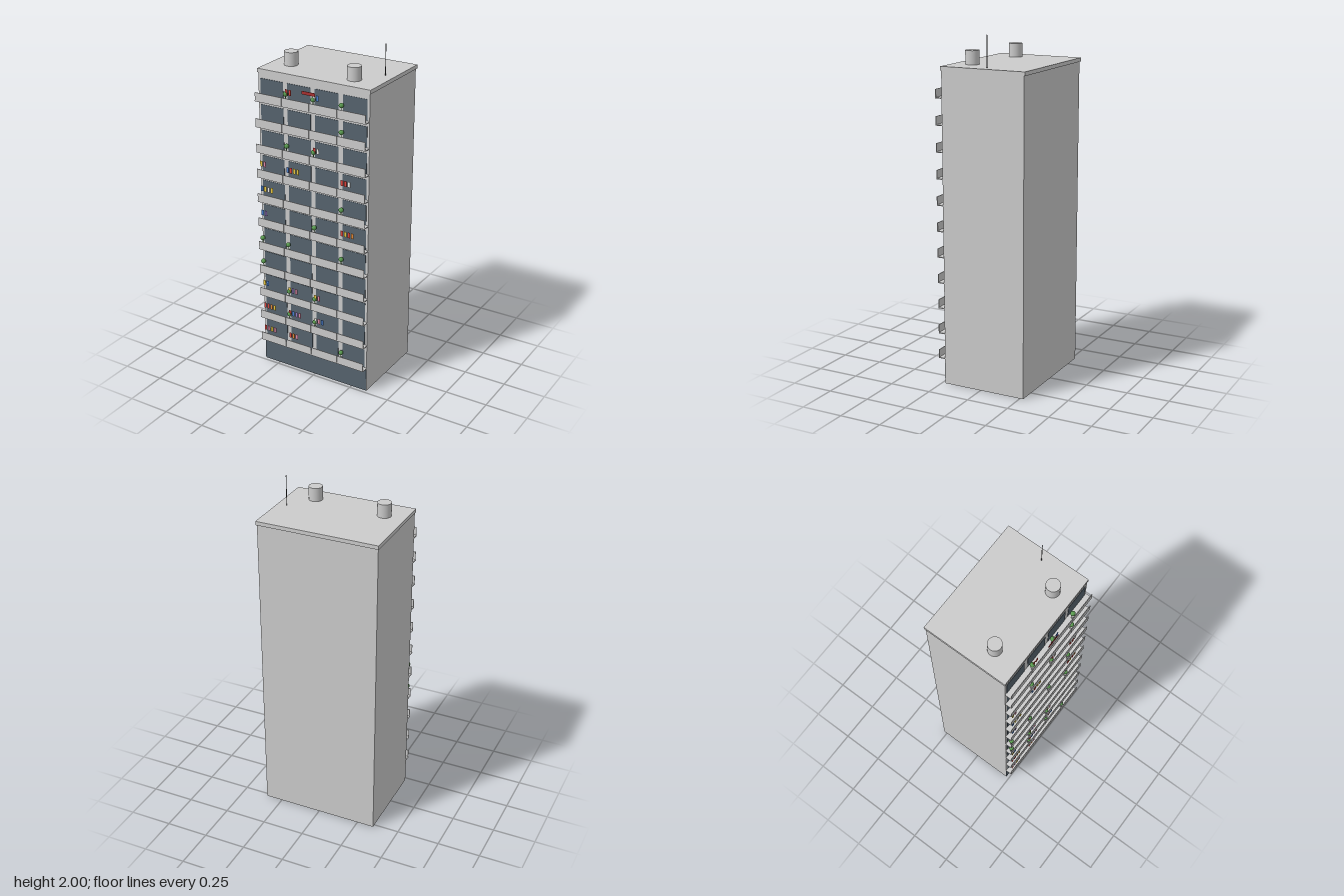
import * as THREE from 'three';

const FLOORS = 11, PITCH = 0.15, CELL = 0.175, FRONT = 0.23;

const mats = {};
const mat = (color) => (mats[color] ??= new THREE.MeshStandardMaterial({ color }));
const GREY = 0xcccccc, GLASS = 0x56636e, LEAF = 0x5a9a50;
const CLOTH = { r: 0xd8433c, w: 0xf0f0ea, y: 0xe8c840, p: 0xe08aa8, b: 0x4a80d0, v: 0x9a7ac8, o: 0xe08838 };

// Laundry per floor: bay index -> one letter per garment
const LAUNDRY = [
  { 0: 'rpyp', 1: 'rop' }, { 0: 'rroy', 1: 'rbvp', 2: 'wpb' }, { 0: 'yb', 1: 'yvp', 2: 'yp' }, {}, {},
  { 0: 'bv', 3: 'ryro' }, { 0: 'bywy' }, { 0: 'yp', 1: 'bryy', 3: 'rrw' }, { 2: 'rw' }, {}, { 1: 'rr', 2: 'wb' },
];
// Bays with a potted plant on each floor
const PLANTS = [[3], [1, 2], [1, 2], [0], [0, 1, 3], [2], [3], [], [1, 2], [3], [1, 2, 3]];

function add(parent, name, geometry, color, x, y, z) {
  const mesh = new THREE.Mesh(geometry, mat(color));
  mesh.name = name;
  mesh.position.set(x, y, z);
  parent.add(mesh);
  return mesh;
}

// Box given by its lower and upper corners
function box(parent, name, [x0, y0, z0], [x1, y1, z1], color = GREY) {
  return add(parent, name, new THREE.BoxGeometry(x1 - x0, y1 - y0, z1 - z0), color,
    (x0 + x1) / 2, (y0 + y1) / 2, (z0 + z1) / 2);
}

const potGeometry = new THREE.CylinderGeometry(0.009, 0.007, 0.026, 12);
const bushGeometry = new THREE.SphereGeometry(0.014, 14, 10);
const clothGeometry = new THREE.BoxGeometry(0.015, 0.032, 0.002);

function createBay(floor, bay) {
  const group = new THREE.Group();
  group.name = 'bay';
  const y = PITCH * (floor + 1), left = (bay - 2) * CELL, mid = left + CELL / 2;

  box(group, 'window', [mid - 0.074, y + 0.005, FRONT - 0.005], [mid + 0.074, y + 0.122, FRONT + 0.002], GLASS);
  box(group, 'balconyParapet', [mid - 0.086, y - 0.002, 0.267], [mid + 0.086, y + 0.049, 0.271],
    (floor + bay) % 2 ? GREY : 0xc0c0c0);

  // Potted plant in the bay's left-hand corner
  if (PLANTS[floor].includes(bay)) {
    add(group, 'plantPot', potGeometry, GREY, left + 0.019, y + 0.027, 0.257);
    add(group, 'plantStem', new THREE.CylinderGeometry(0.002, 0.002, 0.02, 6), LEAF, left + 0.019, y + 0.05, 0.257);
    add(group, 'plantBush', bushGeometry, LEAF, left + 0.019, y + 0.07, 0.257);
  }
  // Clothes hung above the parapet
  [...(LAUNDRY[floor][bay] ?? '')].forEach((c, i) =>
    add(group, 'laundry', clothGeometry, CLOTH[c], left + 0.027 + i * 0.022, y + 0.083, 0.262));
  return group;
}

export function createModel() {
  const model = new THREE.Group();
  model.name = 'apartmentBlock';

  // Main volume
  box(model, 'towerBody', [-0.35, 0, -0.27], [0.35, 1.805, FRONT]);
  box(model, 'groundFloorFront', [-0.349, 0.002, FRONT - 0.005], [0.349, 0.14, FRONT + 0.002], GLASS);
  box(model, 'roofSlab', [-0.355, 1.803, -0.277], [0.355, 1.825, 0.233]);

  // Front facade, floor by floor
  for (let floor = 0; floor < FLOORS; floor++) {
    const y = PITCH * (floor + 1);
    const storey = new THREE.Group();
    storey.name = 'storey';
    box(storey, 'balconySlab', [-0.351, y - 0.002, FRONT], [0.351, y + 0.003, 0.269]);
    for (let bay = 0; bay < 4; bay++) storey.add(createBay(floor, bay));
    model.add(storey);
  }

  // Plain red strip over the top balconies
  box(model, 'bannerStrip', [-0.042, 1.745, 0.272], [0.042, 1.763, 0.275], 0xa83030);

  // Rooftop equipment
  const tank = new THREE.CylinderGeometry(0.039, 0.039, 0.078, 32);
  for (const [x, z] of [[-0.234, 0.08], [0.194, 0.124]]) add(model, 'waterTank', tank, GREY, x, 1.863, z);
  add(model, 'antenna', new THREE.CylinderGeometry(0.002, 0.002, 0.178, 8), 0x444444, 0.298, 1.911, -0.023);

  return model;
}
